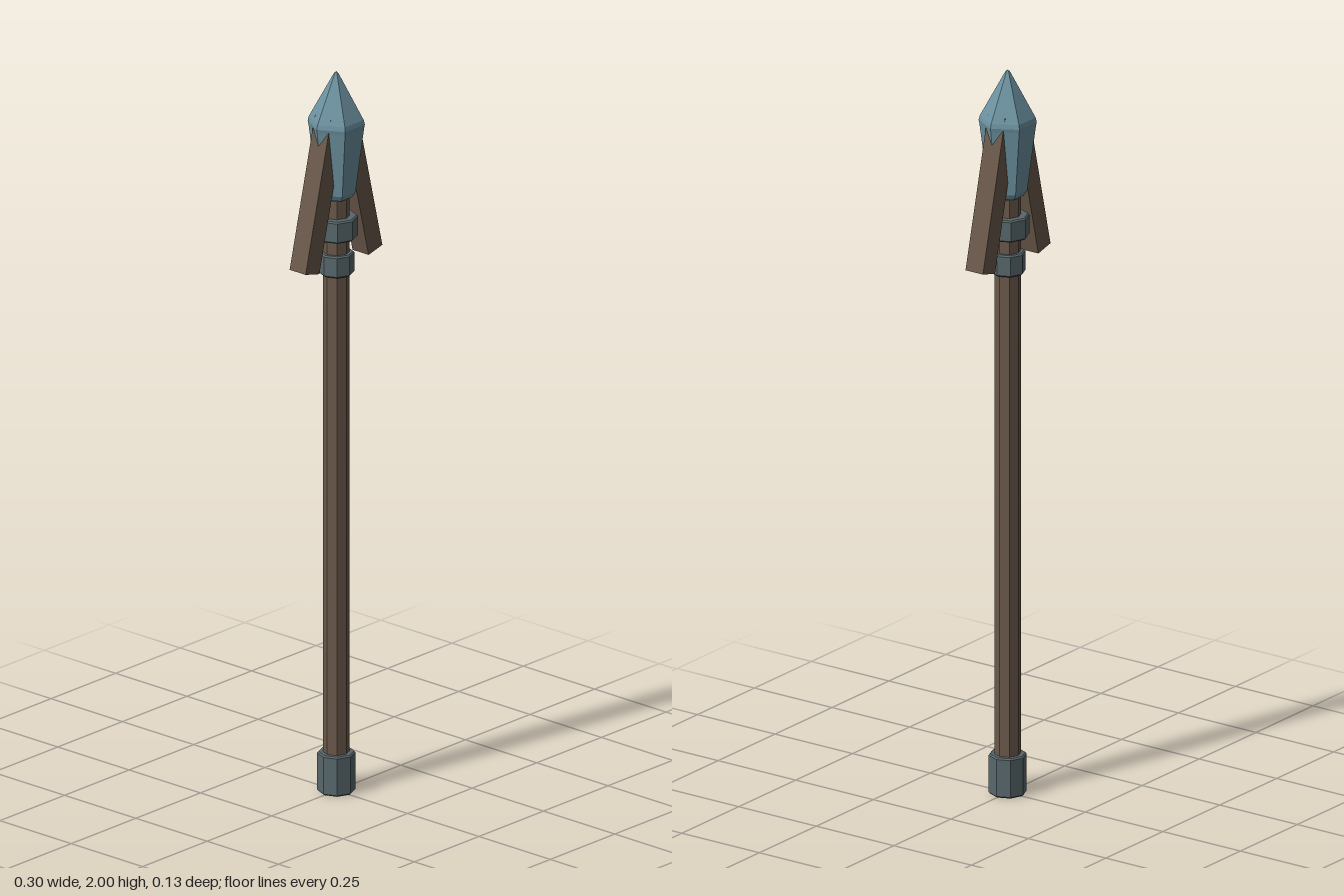
import * as THREE from 'three';

const wood = new THREE.MeshStandardMaterial({ color: 0x6b594b, flatShading: true });
wood.name = 'brown wood';
const iron = new THREE.MeshStandardMaterial({ color: 0x58676c, flatShading: true });
iron.name = 'dark iron';
const steel = new THREE.MeshStandardMaterial({ color: 0x6d93a1, flatShading: true });
steel.name = 'blue steel';

// Faceted solid turned from [radius, height] pairs, listed bottom to top
function turned(name, profile, sides, material) {
  const points = profile.map(([r, y]) => new THREE.Vector2(r, y));
  const mesh = new THREE.Mesh(new THREE.LatheGeometry(points, sides, Math.PI / 2), material);
  mesh.name = name;
  return mesh;
}

// Eight-sided band with slightly bevelled rims
function band(name, radius, bottom, top) {
  const b = 0.004;
  return turned(name, [
    [0, bottom], [radius - b, bottom], [radius, bottom + b],
    [radius, top - b], [radius - b, top], [0, top],
  ], 8, iron);
}

export function createModel() {
  const model = new THREE.Group();
  model.name = 'spear';

  // Shaft with its foot cap and two collars
  model.add(
    turned('shaft', [[0, 0.02], [0.035, 0.02], [0.035, 1.65], [0, 1.65]], 8, wood),
    band('footCap', 0.05, 0, 0.11),
    band('lowerCollar', 0.047, 1.44, 1.5),
    band('upperCollar', 0.057, 1.54, 1.6),
  );

  // Six-sided point, widest at the shoulder
  model.add(turned('spearHead', [
    [0, 1.653], [0.042, 1.653], [0.051, 1.668], [0.074, 1.848],
    [0.076, 1.858], [0.073, 1.87], [0.006, 1.995], [0, 2],
  ], 6, steel));

  // Slanted wooden barbs running out of the head on both sides
  for (const side of [-1, 1]) {
    const barb = new THREE.Mesh(new THREE.BoxGeometry(0.055, 0.414, 0.056), wood);
    barb.name = side > 0 ? 'leftBarb' : 'rightBarb';
    barb.position.set(side * 0.073, 1.677, -0.001);
    barb.rotation.z = side * 0.238;
    model.add(barb);
  }

  return model;
}
